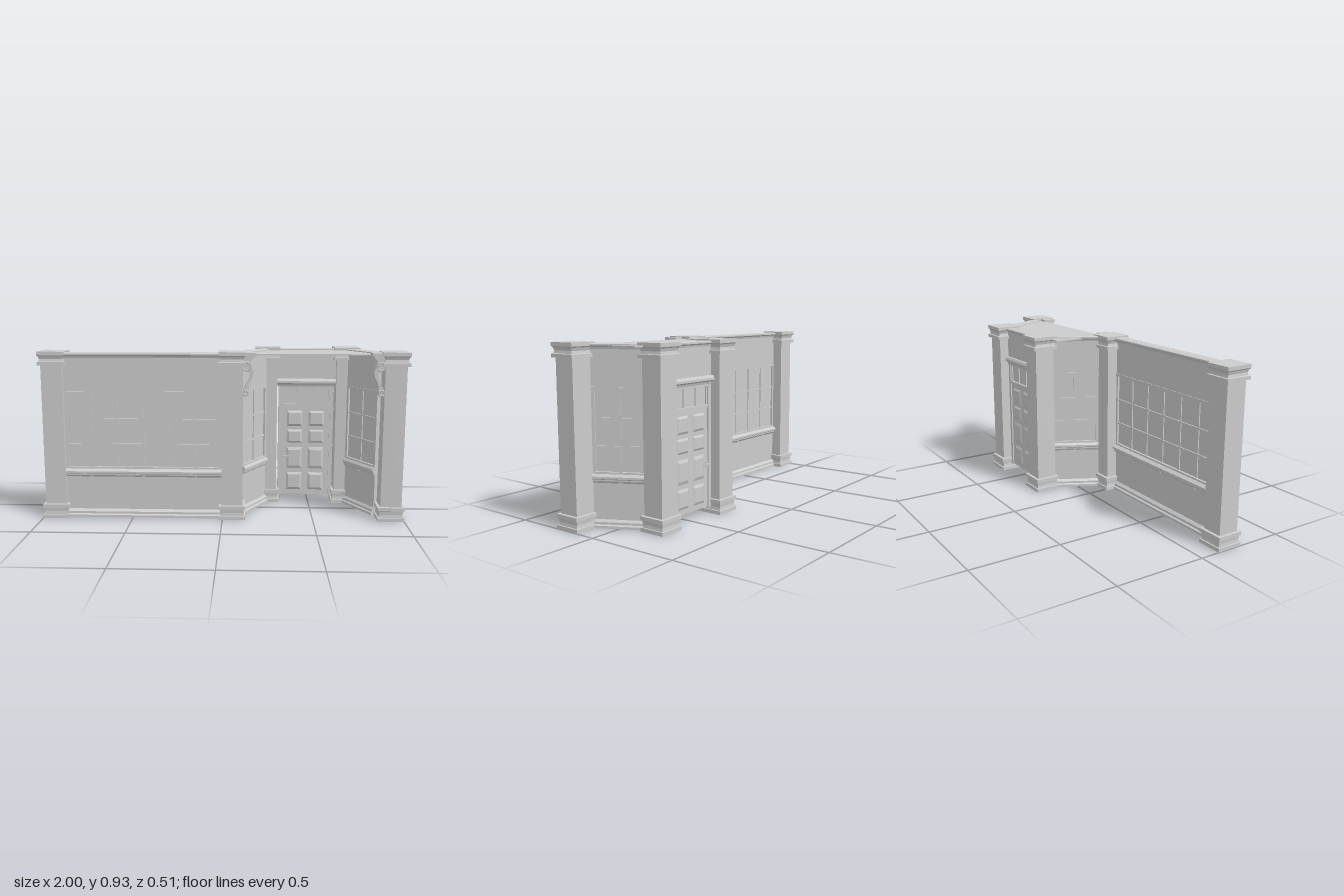
import * as THREE from 'three';

const mat = new THREE.MeshStandardMaterial({ color: 0xcccccc, flatShading: true, side: THREE.DoubleSide });

function add(parent, name, geo, x = 0, y = 0, z = 0) {
  const m = new THREE.Mesh(geo, mat);
  m.name = name;
  m.position.set(x, y, z);
  parent.add(m);
  return m;
}

// box given by its centre x, bottom and top y, centre z
function slab(parent, name, w, y0, y1, d, x = 0, z = 0) {
  return add(parent, name, new THREE.BoxGeometry(w, y1 - y0, d), x, (y0 + y1) / 2, z);
}

// moulding along x: half-depth / height pairs, mirrored front to back
function moulding(parent, name, length, pairs) {
  const pts = pairs.map(([d, y]) => new THREE.Vector2(d, y));
  const back = pairs.map(([d, y]) => new THREE.Vector2(-d, y)).reverse();
  const geo = new THREE.ExtrudeGeometry(new THREE.Shape([...pts, ...back]), { depth: length, bevelEnabled: false });
  geo.translate(0, 0, -length / 2).rotateY(Math.PI / 2);
  return add(parent, name, geo);
}

// square pillar with coved base and capital: half width / height pairs
function pillar(parent, name, x, z) {
  const p = [[0, 0.003], [0.073, 0.003], [0.073, 0.023], [0.066, 0.024], [0.064, 0.04], [0.066, 0.058],
    [0.073, 0.061], [0.073, 0.081], [0.058, 0.082], [0.058, 0.855], [0.073, 0.856], [0.073, 0.874],
    [0.065, 0.876], [0.062, 0.89], [0.067, 0.905], [0.073, 0.911], [0.073, 0.93], [0, 0.93]];
  const geo = new THREE.LatheGeometry(p.map(([r, y]) => new THREE.Vector2(r * Math.SQRT2, y)), 4);
  geo.rotateY(Math.PI / 4);
  add(parent, name, geo, x, 0, z);
}

// group whose local x runs from a to b on the ground
function span(parent, name, [ax, az], [bx, bz]) {
  const g = new THREE.Group();
  g.name = name;
  g.position.set((ax + bx) / 2, 0, (az + bz) / 2);
  g.rotation.y = Math.atan2(az - bz, bx - ax);
  parent.add(g);
  return [g, Math.hypot(bx - ax, bz - az)];
}

function crown(g, len, half) {
  moulding(g, 'crownMoulding', len, [[half * 0.55, 0.895], [half * 0.65, 0.905], [half, 0.912], [half, 0.92], [half * 0.6, 0.924]]);
}

function windowWall(parent, name, a, b, cols, half) {
  const [g, len] = span(parent, name, a, b);
  moulding(g, 'baseMoulding', len, [[half, 0.005], [half, 0.018], [half * 0.75, 0.024], [half * 0.75, 0.036], [half * 0.4, 0.048]]);
  slab(g, 'lowerPanel', len, 0.04, 0.25, 0.024);
  moulding(g, 'sill', len, [[0.018, 0.235], [half * 0.75, 0.245], [half * 0.75, 0.252], [half, 0.257], [half, 0.268], [0.02, 0.28]]);
  slab(g, 'glass', len, 0.27, 0.71, 0.008);
  slab(g, 'fascia', len, 0.71, 0.9, 0.026);
  crown(g, len, half);
  // window frame and glazing bars
  const bars = [[0.275, 0.29], [0.41, 0.42], [0.55, 0.56], [0.697, 0.712]];
  bars.forEach(([y0, y1], i) => slab(g, 'horizontalBar', len, y0, y1, i % 3 ? 0.022 : 0.034));
  for (let i = 0; i <= cols; i++) {
    const edge = i === 0 || i === cols;
    slab(g, 'verticalBar', edge ? 0.016 : 0.01, 0.28, 0.71, edge ? 0.03 : 0.02, (i / cols - 0.5) * (len - 0.016));
  }
  // small blocks under the sill
  for (let i = 1; i < cols; i += 2)
    slab(g, 'sillBlock', 0.014, 0.232, 0.246, half * 1.4, (i / cols - 0.5) * len);
}

function doorway(parent) {
  const [g, len] = span(parent, 'doorway', [0.305, -0.172], [0.655, -0.172]);
  crown(g, len, 0.028);
  slab(g, 'fascia', len, 0.74, 0.9, 0.026);
  moulding(g, 'lintel', len, [[0.018, 0.7], [0.022, 0.712], [0.034, 0.72], [0.034, 0.732], [0.026, 0.745]]);
  for (const s of [-1, 1]) slab(g, 'jamb', 0.022, 0.04, 0.71, 0.036, s * 0.151);
  // transom light over the door
  slab(g, 'transomGlass', 0.28, 0.59, 0.705, 0.008);
  slab(g, 'transomRail', 0.29, 0.578, 0.594, 0.034);
  slab(g, 'transomHead', 0.29, 0.69, 0.705, 0.03);
  for (const x of [-0.136, -0.047, 0.047, 0.136]) slab(g, 'transomBar', 0.01, 0.59, 0.7, 0.022, x);
  // door leaf with raised panels on both faces
  slab(g, 'door', 0.28, 0.043, 0.578, 0.022);
  for (const [y0, y1] of [[0.07, 0.18], [0.2, 0.335], [0.36, 0.44], [0.46, 0.555]])
    for (const sx of [-1, 1]) for (const sz of [-1, 1]) {
      const geo = new THREE.CylinderGeometry(0.5, 0.707, 1, 4);
      geo.rotateY(Math.PI / 4).rotateX(sz * Math.PI / 2).scale(0.095, y1 - y0, 0.008);
      add(g, 'doorPanel', geo, sx * 0.064, (y0 + y1) / 2, sz * 0.014);
    }
  for (const s of [-1, 1]) {
    slab(g, 'handlePlate', 0.012, 0.26, 0.295, 0.005, -0.126, s * 0.013);
    slab(g, 'handle', 0.036, 0.275, 0.282, 0.007, -0.112, s * 0.026);
    slab(g, 'handleStem', 0.007, 0.275, 0.282, 0.018, -0.126, s * 0.018);
  }
}

// scrolled bracket beside a pillar, dir is the side it projects to
function bracket(parent, x, dir) {
  const g = new THREE.Group();
  g.name = 'scrollBracket';
  g.position.set(x, 0, 0.203);
  if (dir < 0) g.rotation.y = Math.PI;
  parent.add(g);
  slab(g, 'bracketTop', 0.078, 0.908, 0.926, 0.076, 0.032);
  slab(g, 'bracketNeck', 0.062, 0.892, 0.908, 0.062, 0.028);
  const s = new THREE.Shape();
  s.moveTo(0, 0.895);
  s.lineTo(0.05, 0.895);
  s.bezierCurveTo(0.03, 0.865, 0.064, 0.835, 0.056, 0.805);
  s.bezierCurveTo(0.05, 0.775, 0.03, 0.765, 0.032, 0.735);
  s.bezierCurveTo(0.036, 0.71, 0.022, 0.69, 0, 0.69);
  s.lineTo(0, 0.72);
  s.bezierCurveTo(0.015, 0.76, 0.036, 0.78, 0.036, 0.805);
  s.bezierCurveTo(0.034, 0.835, 0.005, 0.82, 0, 0.85);
  const geo = new THREE.ExtrudeGeometry(s, { depth: 0.044, bevelEnabled: false, curveSegments: 8 });
  add(g, 'bracketBody', geo.translate(0, 0, -0.022));
  for (const [cx, cy, r] of [[0.02, 0.853, 0.022], [0.014, 0.71, 0.014]]) {
    add(g, 'scrollEye', new THREE.CylinderGeometry(r * 0.5, r * 0.5, 0.062, 12).rotateX(Math.PI / 2), cx, cy);
    for (const z of [-0.024, 0.024]) add(g, 'scrollRing', new THREE.TorusGeometry(r, 0.005, 6, 16), cx, cy, z);
  }
}

export function createModel() {
  const model = new THREE.Group();
  model.name = 'shopFront';

  for (const [name, x, z] of [['leftEndPillar', -0.927, 0.18], ['middlePillar', 0.053, 0.18], ['rightEndPillar', 0.927, 0.18],
    ['doorPillarLeft', 0.25, -0.182], ['doorPillarRight', 0.71, -0.182]]) pillar(model, name, x, z);

  windowWall(model, 'mainWindow', [-0.872, 0.197], [-0.003, 0.197], 6, 0.037);
  windowWall(model, 'porchWindowLeft', [0.098, 0.125], [0.232, -0.125], 2, 0.03);
  windowWall(model, 'porchWindowRight', [0.728, -0.125], [0.862, 0.125], 2, 0.03);
  doorway(model);

  slab(model, 'porchCeiling', 0.72, 0.908, 0.915, 0.315, 0.48, 0.013);
  bracket(model, 0.111, 1);
  bracket(model, 0.869, -1);
  return model;
}
